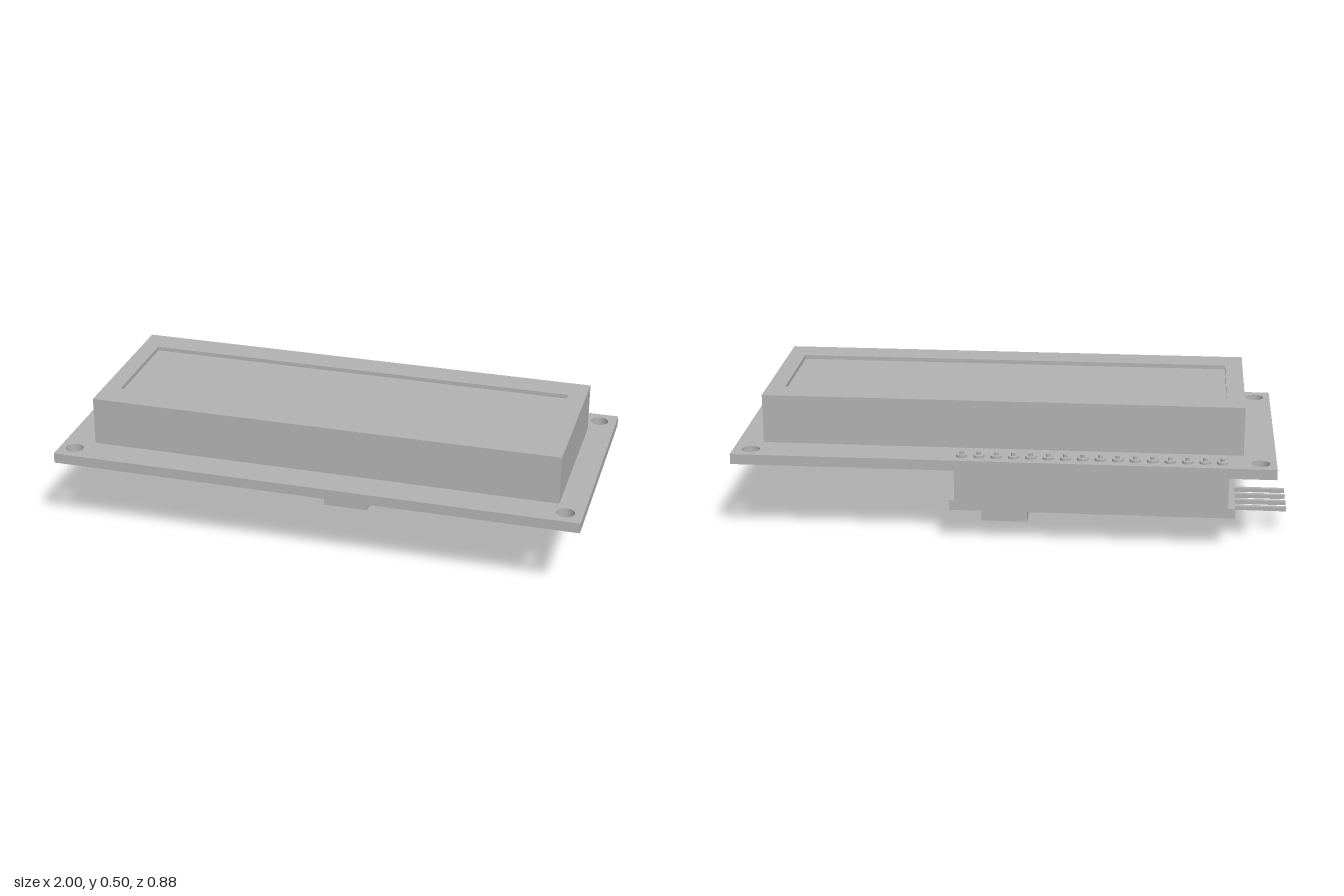
import * as THREE from 'three';

export function createModel() {
  const model = new THREE.Group();
  model.name = 'displayModule';
  const grey = new THREE.MeshStandardMaterial({ color: 0xb2b2b2 });
  grey.name = 'grey';

  const add = (name, geometry, parent = model) => {
    const mesh = new THREE.Mesh(geometry, grey);
    mesh.name = name;
    parent.add(mesh);
    return mesh;
  };

  // Box given by its limits on each axis
  const box = (name, [x0, x1], [y0, y1], [z0, z1], parent) => {
    const mesh = add(name, new THREE.BoxGeometry(x1 - x0, y1 - y0, z1 - z0), parent);
    mesh.position.set((x0 + x1) / 2, (y0 + y1) / 2, (z0 + z1) / 2);
    return mesh;
  };

  // Horizontal slab with holes, drawn in x and -z
  const rectangle = (Type, [x0, x1], [z0, z1]) => new Type([
    new THREE.Vector2(x0, -z1), new THREE.Vector2(x1, -z1),
    new THREE.Vector2(x1, -z0), new THREE.Vector2(x0, -z0),
  ]);
  const slab = (name, xs, [y0, y1], zs, holes) => {
    const shape = rectangle(THREE.Shape, xs, zs);
    shape.holes.push(...holes);
    const geometry = new THREE.ExtrudeGeometry(shape, { depth: y1 - y0, bevelEnabled: false, curveSegments: 24 });
    geometry.rotateX(-Math.PI / 2).translate(0, y0, 0);
    return add(name, geometry);
  };

  // Main board with four mounting holes
  const mountingHoles = [];
  for (const x of [-0.893, 0.937]) {
    for (const z of [-0.378, 0.375]) {
      mountingHoles.push(new THREE.Path().absarc(x, -z, 0.033, 0, Math.PI * 2, true));
    }
  }
  slab('mainBoard', [-0.95, 1], [0.285, 0.323], [-0.438, 0.438], mountingHoles);

  // Display housing with a shallow recessed screen
  const screenX = [-0.77, 0.84], screenZ = [-0.195, 0.202];
  box('housingBase', [-0.835, 0.905], [0.323, 0.488], [-0.3, 0.315]);
  const opening = rectangle(THREE.Path, screenX, screenZ);
  slab('housingRim', [-0.835, 0.905], [0.488, 0.503], [-0.3, 0.315], [opening]);

  // Row of soldered pins along the back edge
  const solderRow = new THREE.Group();
  solderRow.name = 'solderRow';
  model.add(solderRow);
  const jointGeometry = new THREE.CylinderGeometry(0.02, 0.02, 0.009, 20);
  const tipGeometry = new THREE.CylinderGeometry(0.008, 0.008, 0.02, 12);
  for (let i = 0; i < 16; i++) {
    const x = -0.759 + i * 0.0619;
    add('solderJoint', jointGeometry, solderRow).position.set(x, 0.3275, -0.39);
    add('pinTip', tipGeometry, solderRow).position.set(x, 0.333, -0.39);
  }

  // Header joining the two boards
  box('headerStrip', [-0.783, 0.195], [0.162, 0.285], [-0.42, -0.36]);

  // Small controller board and its parts
  box('controllerBoard', [-0.808, 0.215], [0.125, 0.162], [-0.413, 0.05]);
  box('trimmer', [-0.05, 0.12], [0, 0.125], [-0.195, -0.025]);
  box('chip', [-0.345, -0.1], [0.083, 0.125], [-0.22, -0.035]);

  // Side connector with four pins
  const connector = new THREE.Group();
  connector.name = 'sideConnector';
  model.add(connector);
  box('connectorBody', [-0.808, -0.738], [0.064, 0.125], [-0.236, 0.012], connector);
  for (let i = 0; i < 4; i++) {
    const z = -0.207 + i * 0.062;
    box('connectorPin', [-1, -0.808], [0.081, 0.096], [z - 0.008, z + 0.008], connector);
  }

  return model;
}
